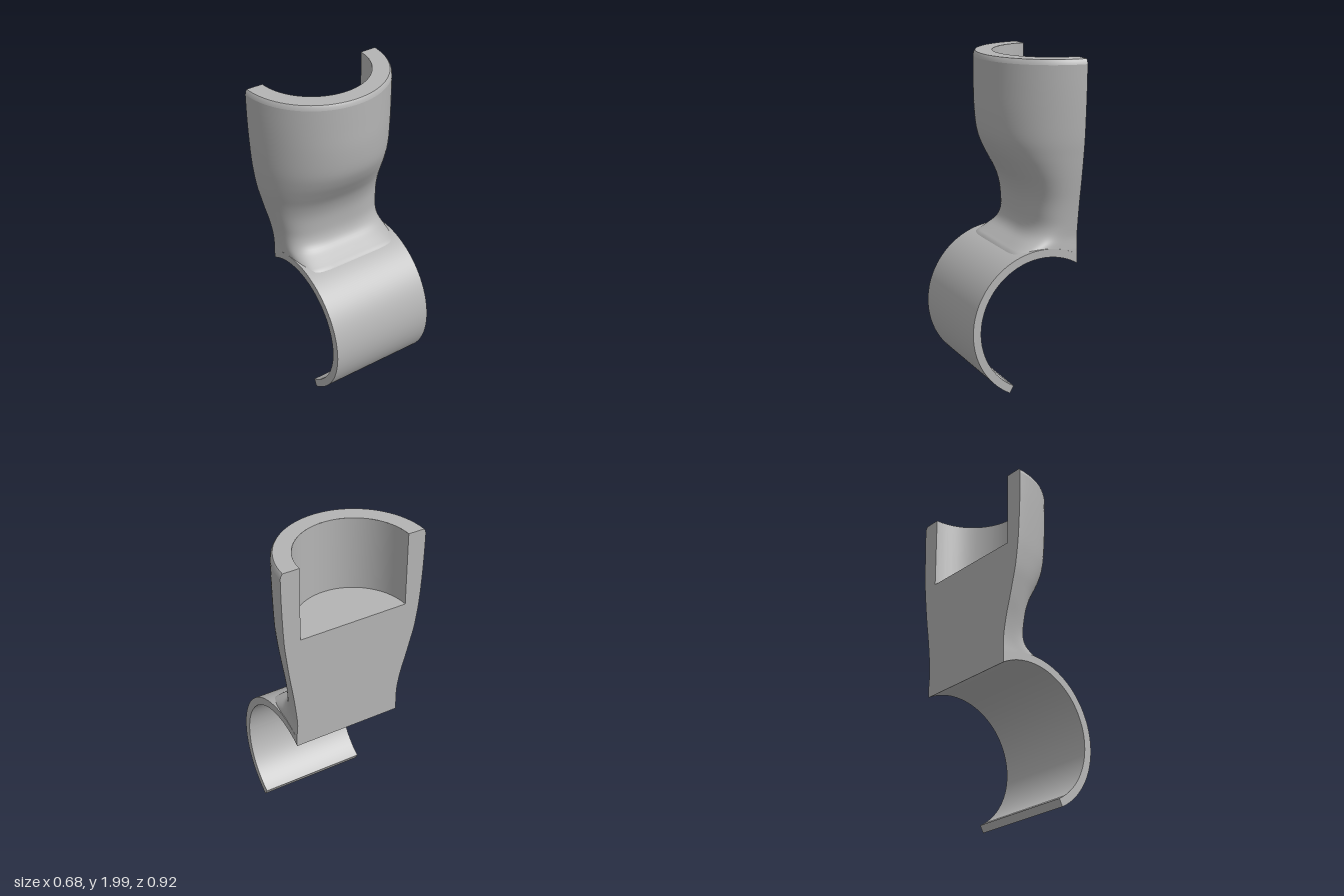
import * as THREE from 'three';
import { toCreasedNormals } from 'three/addons/utils/BufferGeometryUtils.js';

const BACK = -0.345;                       // flat cut plane
const CX = -0.125, CY = 0.412;             // clip axis
const R_IN = 0.415, R_OUT = 0.465;
const CUP_R = 0.345, FLOOR_Y = 1.53;
const Z_FRONT = 0.312, Z_BACK = -0.378;

// body sections: height, front x, z of both edges, squareness of the outline
const SECTIONS = [
  [1.97, 0.115, 0.460, -0.462, 2],
  [1.83, 0.115, 0.458, -0.460, 2],
  [1.68, 0.113, 0.452, -0.455, 2],
  [FLOOR_Y, 0.095, 0.442, -0.447, 2.05],
  [1.43, 0.055, 0.430, -0.436, 2.15],
  [1.34, 0.000, 0.415, -0.425, 2.3],
  [1.25, -0.055, 0.392, -0.412, 2.5],
  [1.16, -0.088, 0.368, -0.398, 2.7],
  [1.07, -0.100, 0.342, -0.386, 3],
  [0.99, -0.098, 0.324, -0.377, 3.3],
  [0.93, -0.070, 0.315, -0.372, 4],
  [0.885, -0.010, Z_FRONT, -0.374, 5.5],
  [0.84, 0.062, Z_FRONT, Z_BACK, 8],
];
const STEPS = 4, AROUND = 56;

function sampleRows() {
  const spline = (f) => new THREE.CatmullRomCurve3(
    SECTIONS.map(f), false, 'catmullrom', 0.5);
  const front = spline((s) => new THREE.Vector3(s[1], s[0], s[4]));
  const edges = spline((s) => new THREE.Vector3(s[2], s[0], s[3]));
  const count = (SECTIONS.length - 1) * STEPS;
  return Array.from({ length: count + 1 }, (_, i) => {
    const a = front.getPoint(i / count), b = edges.getPoint(i / count);
    return { y: a.y, x: a.x, n: a.z, z0: b.x, z1: b.z, last: i === count };
  });
}

// half outline of one section, from the +z edge round to the -z edge
function outline(row) {
  const mid = (row.z0 + row.z1) / 2, half = (row.z0 - row.z1) / 2;
  return Array.from({ length: AROUND + 1 }, (_, j) => {
    const t = (j / AROUND) * Math.PI, c = Math.cos(t);
    const x = BACK + (row.x - BACK) * Math.pow(Math.max(0, Math.sin(t)), 2 / row.n);
    const z = mid + half * Math.sign(c) * Math.pow(Math.abs(c), 2 / row.n);
    // the lowest row sinks into the clip wall
    const y = row.last
      ? Math.min(row.y, CY + Math.sqrt(0.45 ** 2 - (x - CX) ** 2)) : row.y;
    return [x, y, z];
  });
}

function loft(loops) {
  const w = loops[0].length, index = [];
  for (let i = 0; i < loops.length - 1; i++) {
    for (let j = 0; j < w - 1; j++) {
      const a = i * w + j, b = a + w;
      index.push(a, b, b + 1, a, b + 1, a + 1);
    }
  }
  const g = new THREE.BufferGeometry();
  g.setAttribute('position', new THREE.Float32BufferAttribute(loops.flat(2), 3));
  g.setIndex(index);
  g.computeVertexNormals();
  return g;
}

export function createModel() {
  const group = new THREE.Group();
  const grey = new THREE.MeshStandardMaterial({ color: 0xb4b4b4, side: THREE.DoubleSide });
  grey.name = 'grey plastic';
  const add = (name, geometry, x = 0, y = 0, z = 0) => {
    const mesh = new THREE.Mesh(geometry, grey);
    mesh.name = name;
    mesh.position.set(x, y, z);
    group.add(mesh);
  };

  // outer skin of the half cup, neck and flare
  const rows = sampleRows();
  const loops = rows.map(outline);
  add('cupBody', loft(loops));

  // softened rim edge and flat rim
  const rim = { y: 2, x: BACK + 0.448, n: 2, z0: 0.448, z1: -0.448 };
  const shoulder = { y: 1.988, x: 0.111, n: 2, z0: 0.456, z1: -0.457 };
  add('rimEdge', loft([rim, shoulder, rows[0]].map(outline)));
  add('rimTop', new THREE.RingGeometry(CUP_R, 0.448, AROUND, 1, -Math.PI / 2, Math.PI)
    .rotateX(-Math.PI / 2), BACK, 2);

  // cup cavity
  const depth = 2 - FLOOR_Y;
  add('cupInnerWall', new THREE.CylinderGeometry(CUP_R, CUP_R, depth, 28, 1, true, 0, Math.PI),
    BACK, 2 - depth / 2);
  add('cupFloor', new THREE.CircleGeometry(CUP_R, 28, -Math.PI / 2, Math.PI)
    .rotateX(-Math.PI / 2), BACK, FLOOR_Y);

  // flat cut face: one sheet below the floor, a strip either side of the cavity
  const floorRow = 3 * STEPS;
  const upper = [rim, shoulder, ...rows.slice(0, floorRow + 1)];
  const strip = (list, from, to) => loft(list.map((r) => {
    const y = r.last ? outline(r)[0][1] : r.y;
    return [[BACK, y, from(r)], [BACK, y, to(r)]];
  }));
  add('cutFace', strip(rows.slice(floorRow), (r) => r.z1, (r) => r.z0));
  add('cutFaceLeftStrip', strip(upper, () => CUP_R, (r) => r.z0));
  add('cutFaceRightStrip', strip(upper, (r) => r.z1, () => -CUP_R));

  // curved clip, trimmed upright at the cut plane
  const end = -61 * Math.PI / 180;
  const cut = (r) => Math.acos((BACK - CX) / r);
  const shape = new THREE.Shape();
  shape.absarc(0, 0, R_OUT, end, cut(R_OUT), false);
  shape.absarc(0, 0, R_IN, cut(R_IN), end, true);
  const clip = new THREE.ExtrudeGeometry(shape, {
    depth: Z_FRONT - Z_BACK, bevelEnabled: false, curveSegments: 56,
  });
  add('clip', toCreasedNormals(clip, 0.5), CX, CY, Z_BACK);

  return group;
}
